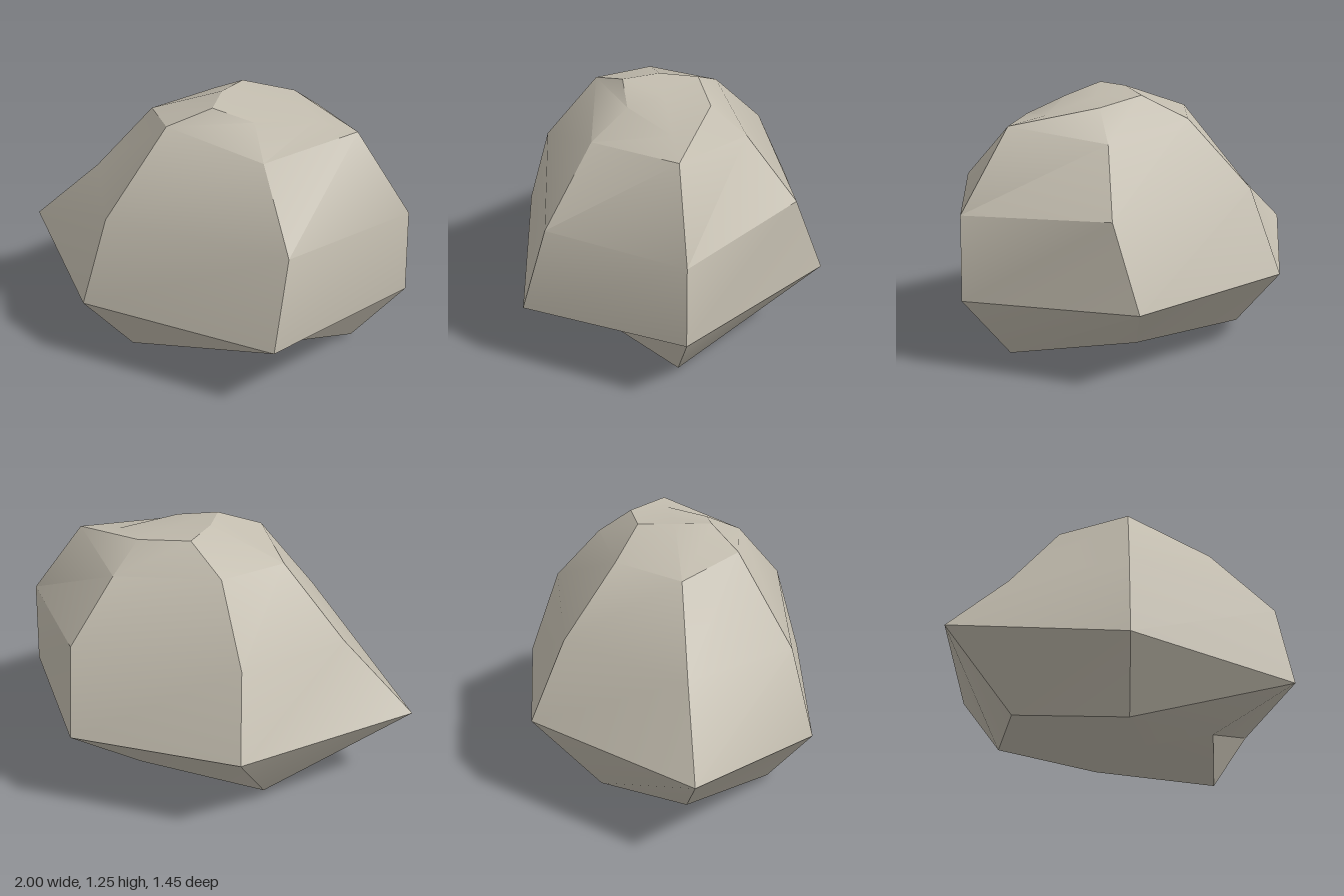
import * as THREE from 'three';
import { toCreasedNormals } from 'three/addons/utils/BufferGeometryUtils.js';

// Six-sided cross-sections from the base up; each starts at +x and turns through +z.
const rings = [
  // underside
  [[0.74, 0.02, 0], [0.34, 0.09, 0.38], [-0.27, 0, 0.44], [-0.6, 0.05, 0], [-0.36, 0.05, -0.4], [0.28, 0.09, -0.4]],
  // widest section
  [[1, 0.35, 0], [0.57, 0.32, 0.72], [-0.44, 0.31, 0.63], [-1, 0.38, 0], [-0.34, 0.4, -0.73], [0.51, 0.39, -0.73]],
  // middle
  [[0.99, 0.77, 0], [0.59, 0.76, 0.6], [-0.35, 0.74, 0.53], [-0.64, 0.73, 0], [-0.29, 0.8, -0.56], [0.55, 0.8, -0.58]],
  // shoulder
  [[0.72, 1.15, 0], [0.38, 1.09, 0.36], [-0.13, 1.16, 0.29], [-0.33, 1.1, 0], [-0.11, 1.12, -0.3], [0.41, 1.09, -0.36]],
  // crown
  [[0.51, 1.17, 0], [0.27, 1.2, 0.18], [0.06, 1.24, 0.18], [0.04, 1.25, 0], [0.08, 1.24, -0.18], [0.34, 1.22, -0.2]],
];

function loftGeometry(sections, bottom, top) {
  const n = sections[0].length;
  const positions = [...sections.flat(), bottom, top].flat();
  const bottomId = sections.length * n, topId = bottomId + 1;
  const last = (sections.length - 1) * n;
  const index = [];
  for (let j = 0; j < n; j++) {
    const k = (j + 1) % n;
    for (let i = 0; i < last; i += n) {
      index.push(i + j, i + n + j, i + k, i + k, i + n + j, i + n + k);
    }
    index.push(bottomId, j, k, topId, last + k, last + j);
  }
  const geometry = new THREE.BufferGeometry();
  geometry.setAttribute('position', new THREE.Float32BufferAttribute(positions, 3));
  geometry.setIndex(index);
  return toCreasedNormals(geometry, Math.PI / 6);
}

export function createModel() {
  const stone = new THREE.MeshStandardMaterial({ color: 0xc2bcae });
  stone.name = 'stone';

  // Faceted boulder with capped top and underside
  const boulder = new THREE.Mesh(loftGeometry(rings, [0.05, 0.04, 0], [0.22, 1.22, 0]), stone);
  boulder.name = 'boulder';

  const model = new THREE.Group();
  model.name = 'rock';
  model.add(boulder);
  return model;
}
